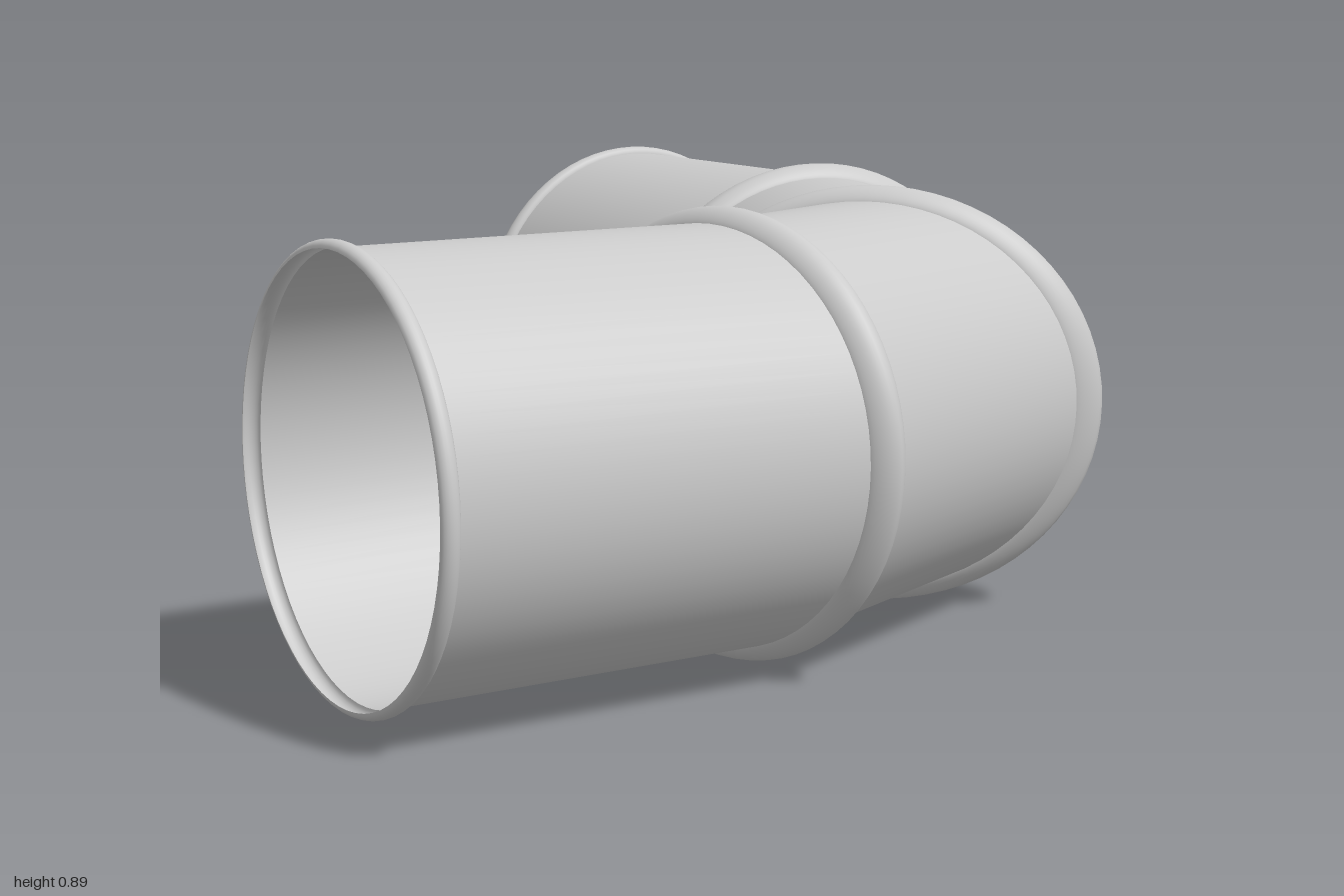
import * as THREE from 'three';

const R = 0.414;          // pipe radius
const OFFSET = 0.555;     // distance of the end pipe axes from the centre
const SIDES = 72;
const BEAD = { half: 0.042, height: 0.031 };
const RIM = { width: 0.037, height: 0.016 };

const material = new THREE.MeshStandardMaterial({ color: 0xcccccc, side: THREE.DoubleSide });
const UP = new THREE.Vector3(0, 1, 0);

// Skin over slanted rings: each lies at distance t along dir from c, with radius r and mitre slope k
function loft(name, rings) {
  const pos = [], index = [];
  rings.forEach(({ c, dir, t, r, k }, i) => {
    const out = new THREE.Vector3(-dir.z, 0, dir.x); // outside of the bend
    for (let j = 0; j < SIDES; j++) {
      const a = (j / SIDES) * Math.PI * 2;
      const p = c.clone()
        .addScaledVector(out, r * Math.cos(a))
        .addScaledVector(UP, r * Math.sin(a))
        .addScaledVector(dir, t + k * r * Math.cos(a));
      pos.push(p.x, p.y, p.z);
      if (i === rings.length - 1) continue;
      const n = i * SIDES, j2 = (j + 1) % SIDES;
      index.push(n + j, n + SIDES + j, n + j2, n + j2, n + SIDES + j, n + SIDES + j2);
    }
  });
  const g = new THREE.BufferGeometry();
  g.setAttribute('position', new THREE.Float32BufferAttribute(pos, 3));
  g.setIndex(index);
  g.computeVertexNormals();
  const mesh = new THREE.Mesh(g, material);
  mesh.name = name;
  return mesh;
}

export function createModel() {
  const group = new THREE.Group();
  group.name = 'segmentedPipeElbow';

  // Axis of the elbow: open end, three mitres, open end
  const y = R + BEAD.height, m = -0.165;
  const s = Math.sin(Math.PI / 8), q = Math.cos(Math.PI / 8);
  const mid = m + q * (OFFSET - m) / (q + s);
  const axis = [[-1, OFFSET], [m, OFFSET], [mid, mid], [OFFSET, m], [OFFSET, -1]]
    .map(([x, z]) => new THREE.Vector3(x, y, z));
  const slopes = [0, 11.25, 22.5, 11.25, 0].map(d => Math.tan(THREE.MathUtils.degToRad(d)));
  const dirs = axis.slice(1).map((p, i) => p.clone().sub(axis[i]).normalize());

  // Straight sections between the beads
  const names = ['leftPipe', 'leftGore', 'rightGore', 'rightPipe'];
  dirs.forEach((dir, i) => {
    const start = i === 0 ? RIM.width : BEAD.half;
    const end = i === 3 ? RIM.width : BEAD.half;
    group.add(loft(names[i], [
      { c: axis[i], dir, t: start, r: R, k: -slopes[i] },
      { c: axis[i + 1], dir, t: -end, r: R, k: slopes[i + 1] },
    ]));
  });

  // Raised seam beads, folded along each mitre plane
  ['leftSeamBead', 'middleSeamBead', 'rightSeamBead'].forEach((name, n) => {
    const i = n + 1, rings = [];
    for (let step = -8; step <= 8; step++) {
      const u = Math.sin((step / 8) * Math.PI / 2);
      rings.push({
        c: axis[i],
        dir: step <= 0 ? dirs[i - 1] : dirs[i],
        t: u * BEAD.half,
        r: R + BEAD.height * Math.pow(Math.max(0, 1 - u * u), 0.75),
        k: step <= 0 ? slopes[i] : -slopes[i],
      });
    }
    group.add(loft(name, rings));
  });

  // Rolled rims at the two open ends
  const rim = (name, c, dir, from) => {
    const rings = [];
    for (let step = 0; step <= 10; step++) {
      const a = (step / 10) * Math.PI;
      rings.push({
        c, dir, k: 0,
        t: from + RIM.width * (1 - Math.cos(a)) / 2,
        r: R + RIM.height * Math.sin(a),
      });
    }
    group.add(loft(name, rings));
  };
  rim('leftRim', axis[0], dirs[0], 0);
  rim('rightRim', axis[4], dirs[3], -RIM.width);

  return group;
}
